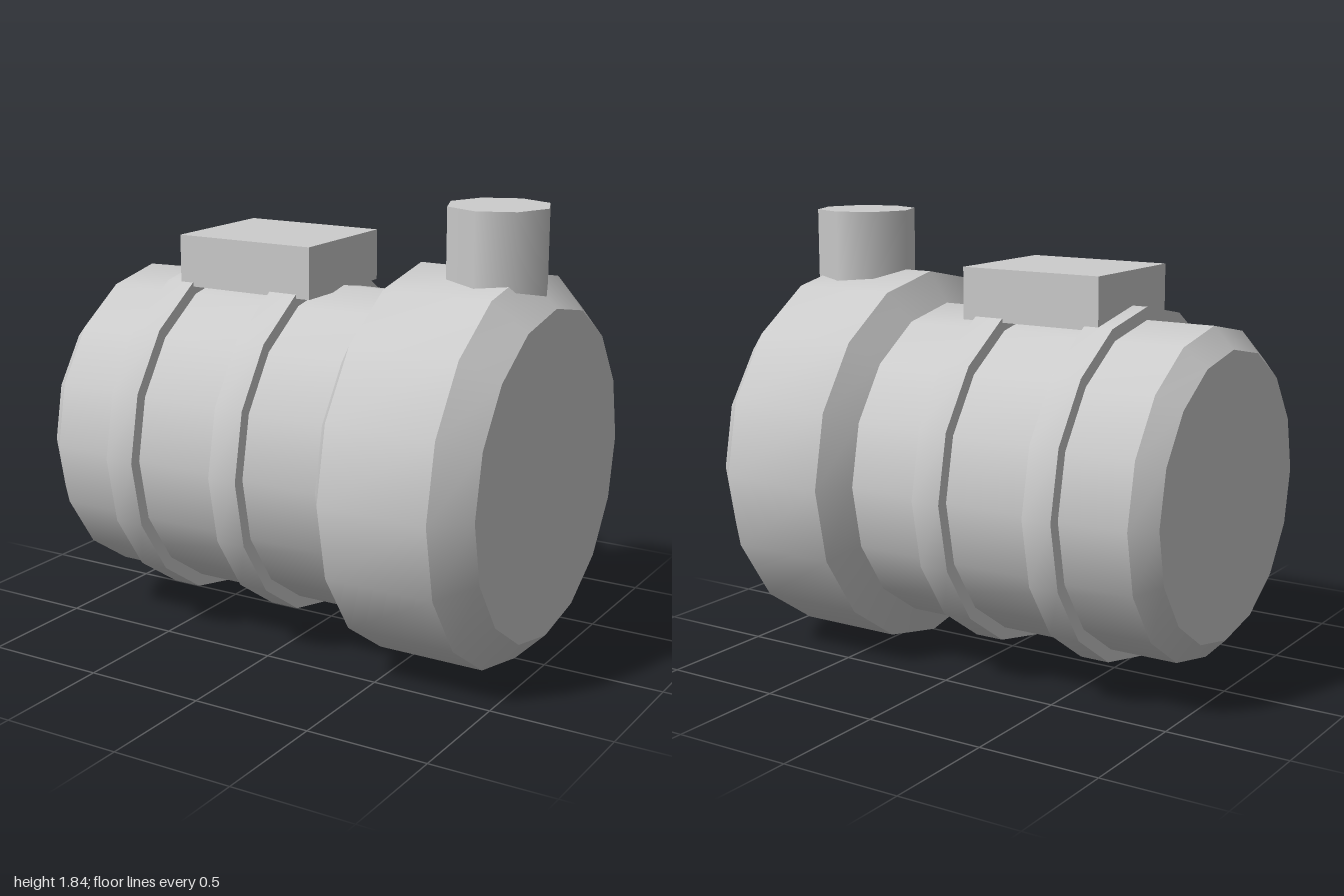
import * as THREE from 'three';
import { toCreasedNormals } from 'three/addons/utils/BufferGeometryUtils.js';

const AXIS_Y = 0.7925;

export function createModel() {
  const model = new THREE.Group();
  model.name = 'canister';
  const grey = new THREE.MeshStandardMaterial({ color: 0xcccccc });
  grey.name = 'plain grey';

  const add = (name, geometry, x, y, z = 0) => {
    const mesh = new THREE.Mesh(geometry, grey);
    mesh.name = name;
    mesh.position.set(x, y, z);
    model.add(mesh);
  };

  // Turned part lying along x, from [x, radius] pairs, closed at both ends
  const addTurned = (name, profile) => {
    const points = [
      [profile[0][0], 0], ...profile, [profile.at(-1)[0], 0],
    ].map(([x, r]) => new THREE.Vector2(r, x));
    const geometry = new THREE.LatheGeometry(points, 16).rotateZ(-Math.PI / 2);
    add(name, toCreasedNormals(geometry, Math.PI / 6), 0, AXIS_Y);
  };

  // Long drum with a chamfered rear end
  addTurned('drum', [[-1, 0.58], [-0.915, 0.665], [0.34, 0.665]]);

  // Wider head, chamfered on both sides
  addTurned('head', [[0.33, 0.665], [0.415, 0.7925], [0.87, 0.7925], [1, 0.665]]);

  // Two clamping bands
  for (const x of [-0.625, -0.125]) {
    addTurned('band', [[x, 0.717], [x + 0.125, 0.717]]);
  }

  // Mounting block resting on the bands
  add('mountingBlock', new THREE.BoxGeometry(0.62, 0.21, 0.54), -0.25, 1.545);

  // Eight-sided inlet pipe on the head
  const pipe = new THREE.CylinderGeometry(0.208, 0.208, 0.435, 8);
  add('inletPipe', pipe, 0.748, 1.6175);

  return model;
}
